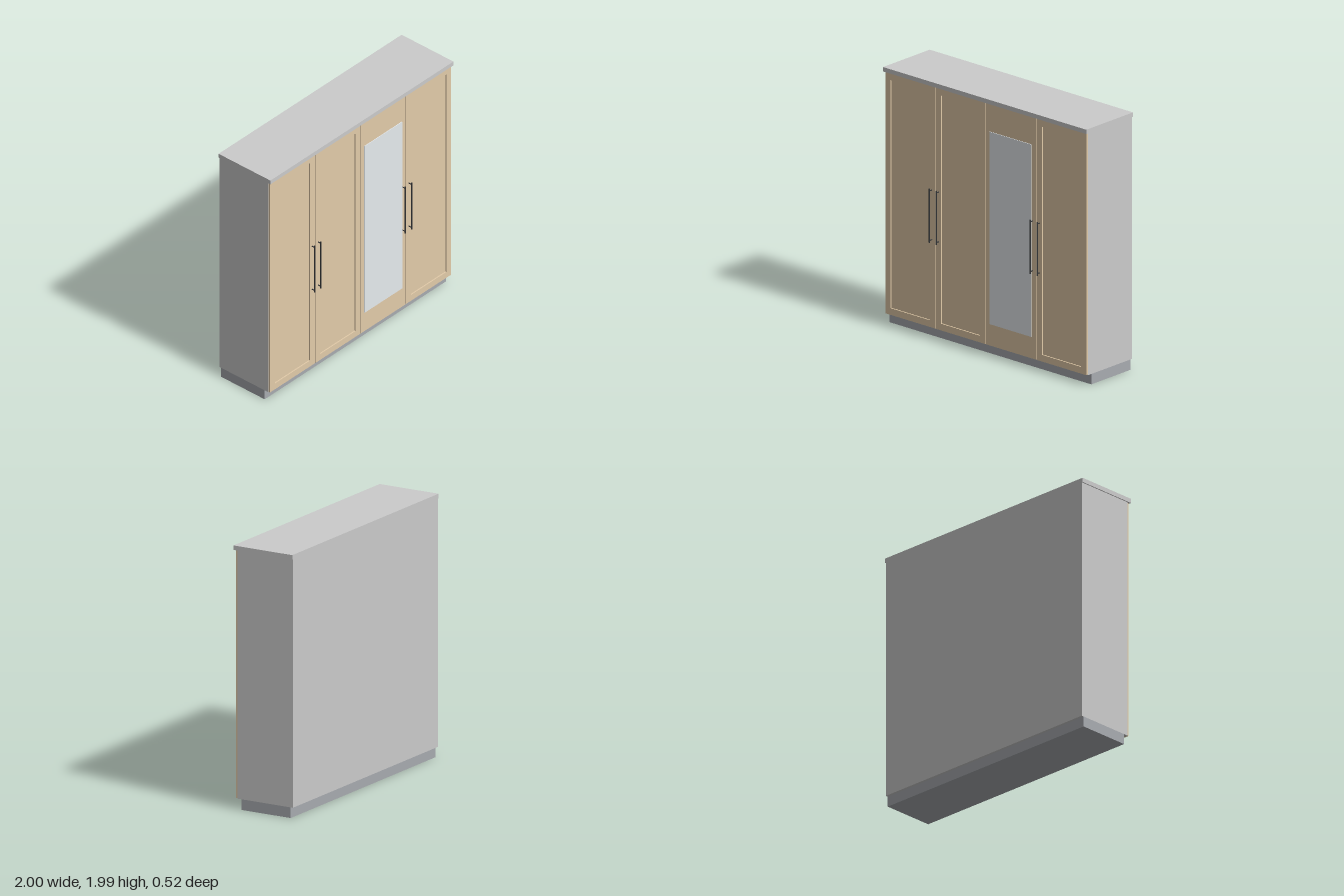
import * as THREE from 'three';

const mat = (color) => new THREE.MeshStandardMaterial({ color });

export function createModel() {
  const model = new THREE.Group();
  model.name = 'wardrobe';
  const grey = mat(0xcccccc), plinthGrey = mat(0xa8abb0), wood = mat(0xe2cba9);
  const glass = mat(0xe6ebee), dark = mat(0x333538);

  // box given by its lower and upper limits
  const box = (name, material, [x0, y0, z0], [x1, y1, z1], parent = model) => {
    const mesh = new THREE.Mesh(new THREE.BoxGeometry(x1 - x0, y1 - y0, z1 - z0), material);
    mesh.position.set((x0 + x1) / 2, (y0 + y1) / 2, (z0 + z1) / 2);
    mesh.name = name;
    parent.add(mesh);
    return mesh;
  };

  // carcass
  box('plinth', plinthGrey, [-0.992, 0, -0.243], [0.992, 0.08, 0.18]);
  box('cabinetBody', grey, [-0.992, 0.08, -0.262], [0.992, 1.953, 0.214]);
  box('topBoard', grey, [-1, 1.953, -0.262], [1, 1.987, 0.243]);

  // doors: three with a recessed panel, one flat with a mirror
  const y0 = 0.083, y1 = 1.95, back = 0.214, front = 0.23, rail = 0.052;
  const pitch = 0.496, gap = 0.003;
  const rect = (T, a, b, c, d) => {
    const s = new T();
    s.moveTo(a, b).lineTo(c, b).lineTo(c, d).lineTo(a, d).closePath();
    return s;
  };
  for (let i = 0; i < 4; i++) {
    const x0 = (i - 2) * pitch + gap, x1 = (i - 1) * pitch - gap;
    const door = new THREE.Group();
    door.name = 'door' + (i + 1);
    model.add(door);
    if (i === 2) {
      box('doorLeaf', wood, [x0, y0, back], [x1, y1, front], door);
      box('mirror', glass, [0.04, 0.25, front], [0.45, 1.737, 0.235], door);
      continue;
    }
    const shape = rect(THREE.Shape, x0, y0, x1, y1);
    shape.holes.push(rect(THREE.Path, x0 + rail, y0 + rail, x1 - rail, y1 - rail));
    const frame = new THREE.Mesh(
      new THREE.ExtrudeGeometry(shape, { depth: front - back, bevelEnabled: false }), wood);
    frame.position.z = back;
    frame.name = 'doorFrame';
    door.add(frame);
    box('doorPanel', wood, [x0 + rail, y0 + rail, back], [x1 - rail, y1 - rail, front - 0.01], door);
  }

  // bar handles on two short posts
  for (const x of [-0.531, -0.463, 0.46, 0.528]) {
    const handle = new THREE.Group();
    handle.name = 'handle';
    handle.position.x = x;
    model.add(handle);
    const bar = new THREE.Mesh(new THREE.CylinderGeometry(0.0055, 0.0055, 0.415, 16), dark);
    bar.position.set(0, 0.955, 0.2565);
    bar.name = 'handleBar';
    handle.add(bar);
    for (const y of [0.763, 1.147]) {
      const post = new THREE.Mesh(new THREE.CylinderGeometry(0.004, 0.004, 0.03, 12), dark);
      post.rotation.x = Math.PI / 2;
      post.position.set(0, y, 0.2415);
      post.name = 'handlePost';
      handle.add(post);
    }
  }
  return model;
}
